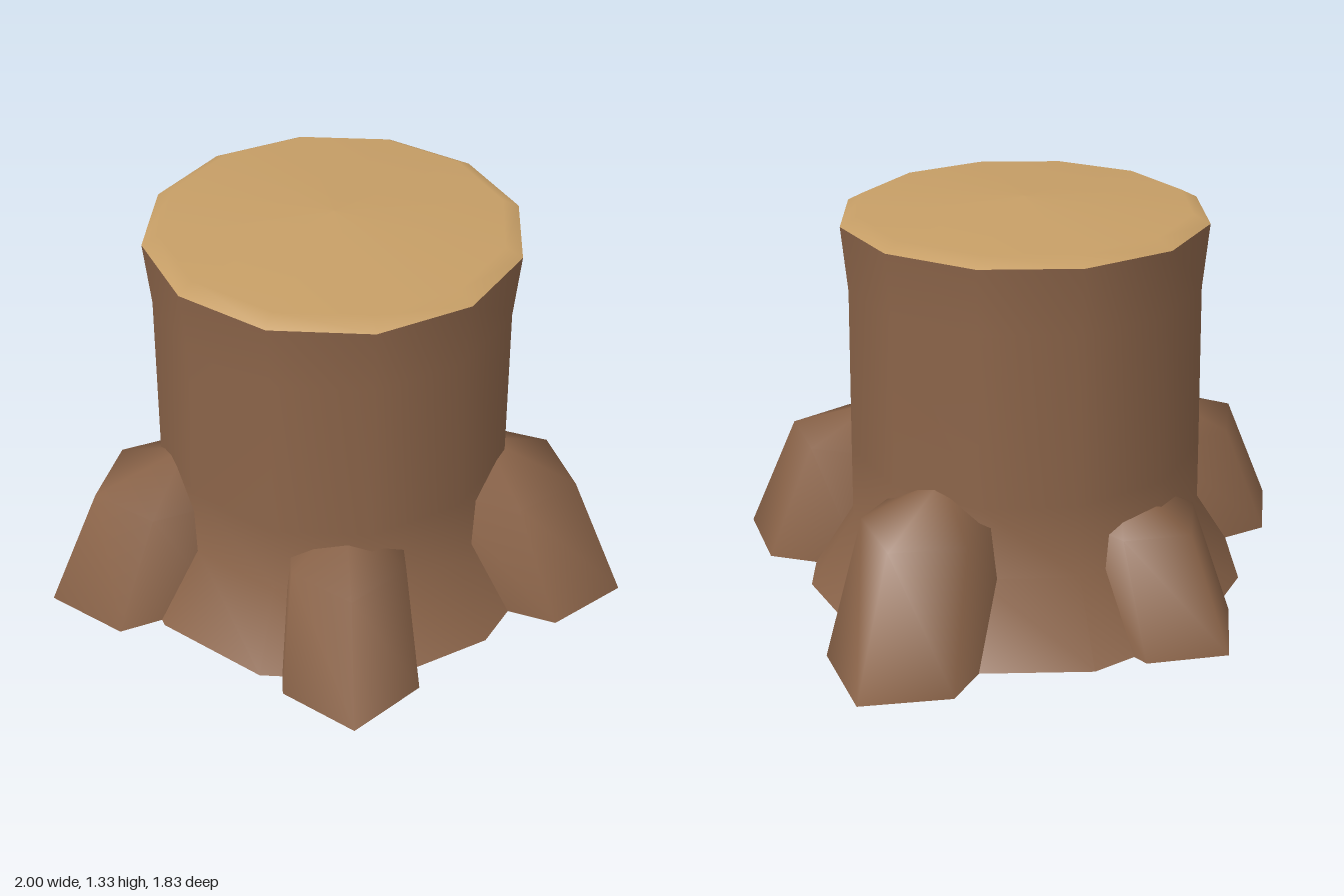
import * as THREE from 'three';
import { mergeVertices } from 'three/addons/utils/BufferGeometryUtils.js';

const bark = new THREE.MeshStandardMaterial({ color: 0x8b6449, side: THREE.DoubleSide });
bark.name = 'bark';
const cutWood = new THREE.MeshStandardMaterial({ color: 0xc69e66, side: THREE.DoubleSide });
cutWood.name = 'cut wood';

// Smooth turned shape from [radius, y] pairs
function turned(profile, sides) {
  return new THREE.LatheGeometry(profile.map(([r, y]) => new THREE.Vector2(r, y)), sides);
}

// Six-sided tapering root with a low pointed top, leaning in towards the trunk
function rootGeometry(tip, height, halfWidth) {
  const geometry = turned([[1, 0], [0.82, height], [0, height * 1.26]], 6);
  const depth = halfWidth * 1.47;
  const width = halfWidth / Math.sin(Math.PI / 3);
  const pos = geometry.attributes.position;
  for (let i = 0; i < pos.count; i++) {
    const lean = -0.31 * pos.getY(i);
    pos.setX(i, pos.getX(i) * width);
    pos.setZ(i, pos.getZ(i) * depth + tip - depth + lean);
  }
  // Weld the seam so the shading stays smooth all round
  geometry.deleteAttribute('uv');
  geometry.deleteAttribute('normal');
  const welded = mergeVertices(geometry);
  welded.computeVertexNormals();
  return welded;
}

export function createModel() {
  const group = new THREE.Group();
  group.name = 'treeStump';

  const add = (name, geometry, material) => {
    const mesh = new THREE.Mesh(geometry, material);
    mesh.name = name;
    group.add(mesh);
    return mesh;
  };

  // Trunk, flared at the ground and slightly at the rim
  const trunk = add('trunk', turned([[0.77, 0], [0.612, 0.25], [0.605, 0.5], [0.588, 1.06], [0.605, 1.275]], 12), bark);
  trunk.position.x = -0.015;

  // Sawn top with a small bevel
  const top = add('sawnTop', turned([[0.605, 1.275], [0.55, 1.303], [0, 1.327]], 12), cutWood);
  top.position.x = -0.015;

  // Roots: name, direction in degrees from +x towards +z, tip distance, shoulder height, half width
  const roots = [
    ['backRoot', 270.6, 0.92, 0.37, 0.217],
    ['rightRoot', 199.8, 1.063, 0.415, 0.239],
    ['frontRightRoot', 128.3, 0.968, 0.39, 0.222],
    ['frontLeftRoot', 60.7, 1.043, 0.43, 0.236],
    ['leftRoot', -14.6, 1.033, 0.43, 0.238],
  ];
  for (const [name, angle, tip, height, halfWidth] of roots) {
    const root = add(name, rootGeometry(tip, height, halfWidth), bark);
    root.rotation.y = THREE.MathUtils.degToRad(90 - angle);
  }
  return group;
}
